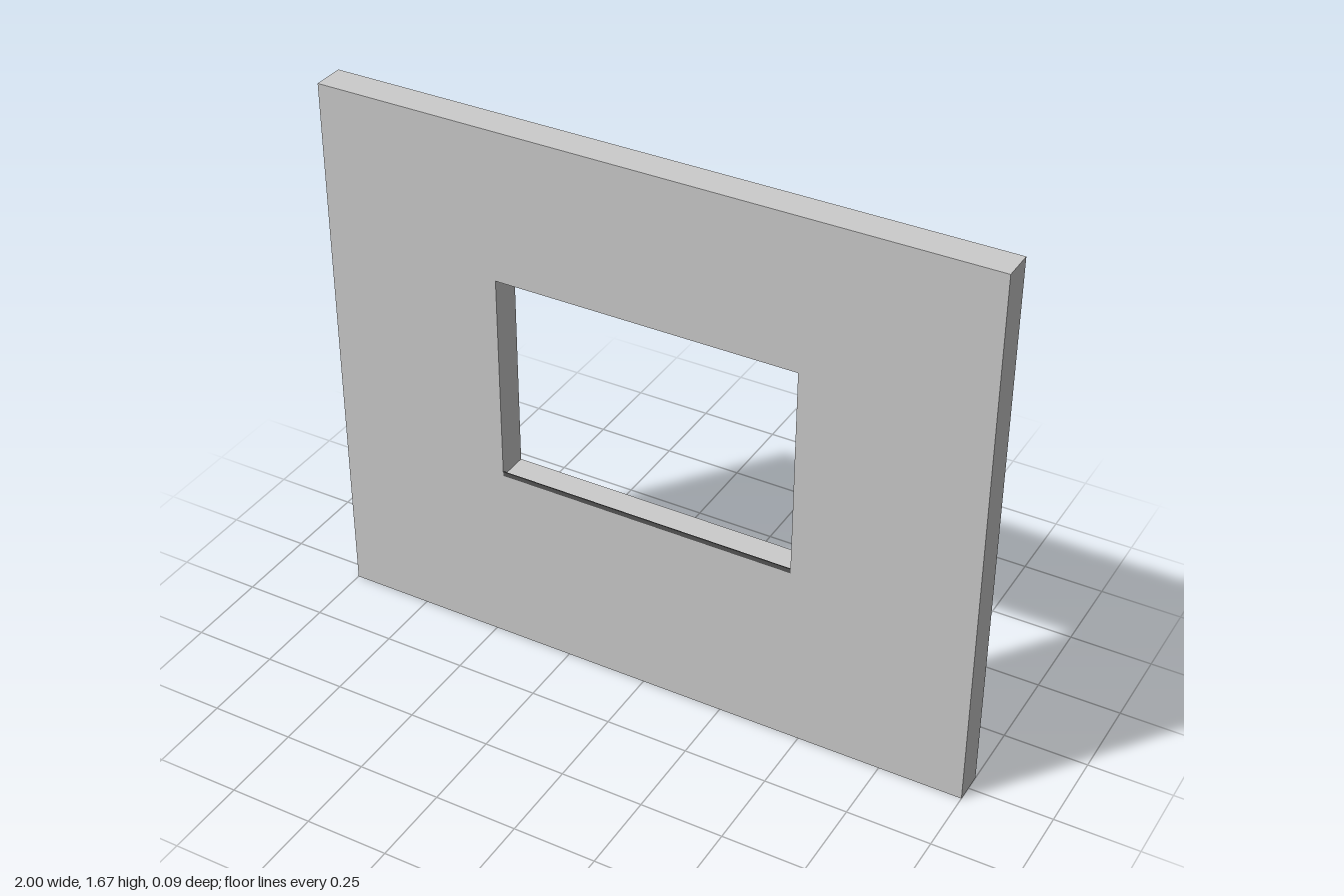
import * as THREE from 'three';

const WIDTH = 2, HEIGHT = 1.67, DEPTH = 0.095;
const HOLE = { halfWidth: 0.456, bottom: 0.57, top: 1.215 };

// Adds a closed rectangle to a shape or path
function rectangle(path, x0, y0, x1, y1) {
  path.moveTo(x0, y0);
  path.lineTo(x1, y0);
  path.lineTo(x1, y1);
  path.lineTo(x0, y1);
  path.closePath();
  return path;
}

export function createModel() {
  const model = new THREE.Group();
  model.name = 'wallWithWindow';

  // Wall slab with a rectangular window opening
  const outline = rectangle(new THREE.Shape(), -WIDTH / 2, 0, WIDTH / 2, HEIGHT);
  outline.holes.push(
    rectangle(new THREE.Path(), -HOLE.halfWidth, HOLE.bottom, HOLE.halfWidth, HOLE.top)
  );
  const wallGeometry = new THREE.ExtrudeGeometry(outline, { depth: DEPTH, bevelEnabled: false });
  wallGeometry.translate(0, 0, -DEPTH / 2);
  const wall = new THREE.Mesh(wallGeometry, new THREE.MeshStandardMaterial({ color: 0xcccccc }));
  wall.name = 'wall';
  model.add(wall);

  // Thin dark lip along the front edge of the sill
  const lipHeight = 0.014, lipDepth = 0.003;
  const lip = new THREE.Mesh(
    new THREE.BoxGeometry(HOLE.halfWidth * 2, lipHeight, lipDepth),
    new THREE.MeshStandardMaterial({ color: 0x555555 })
  );
  lip.name = 'sillLip';
  lip.position.set(0, HOLE.bottom + lipHeight / 2, DEPTH / 2 - lipDepth / 2);
  model.add(lip);

  return model;
}
